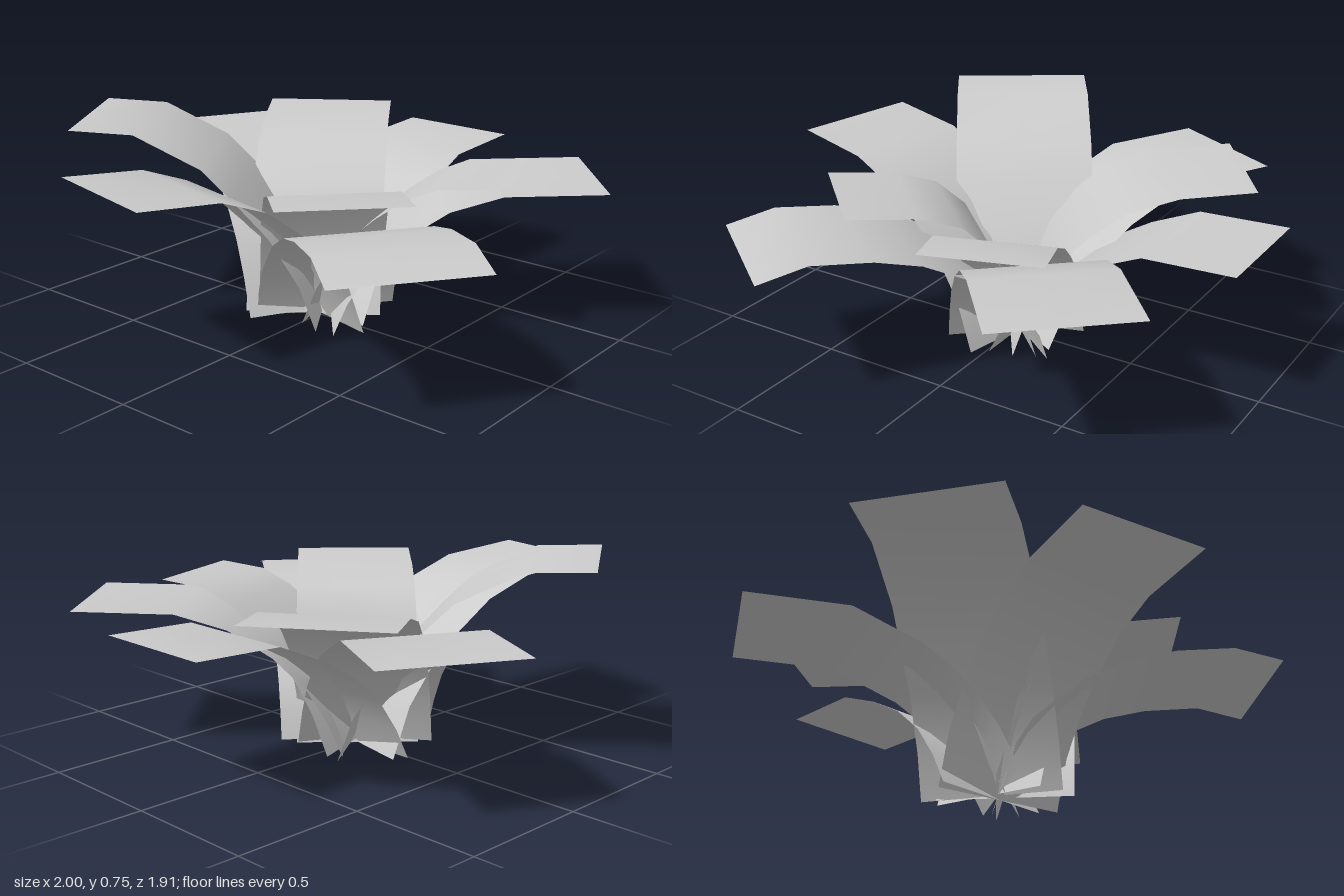
import * as THREE from 'three';

const material = new THREE.MeshStandardMaterial({ color: 0xcccccc, side: THREE.DoubleSide });

// Flat-edged strip of constant width, bent along a profile of [radius, height].
// a and b are the [x, z] tip corners; the strip runs inwards at right angles to them.
function leaf(name, a, b, profile) {
  const tip = new THREE.Vector2((a[0] + b[0]) / 2, (a[1] + b[1]) / 2);
  const side = new THREE.Vector2(b[0] - a[0], b[1] - a[1]);
  const half = side.length() / 2;
  side.normalize();
  const out = new THREE.Vector2(-side.y, side.x);
  if (out.dot(tip) < 0) out.negate();
  const tipRadius = out.dot(tip);

  const positions = [], index = [];
  profile.forEach(([r, y], i) => {
    const centre = tip.clone().addScaledVector(out, r - tipRadius);
    for (const s of [-1, 0, 1]) {
      positions.push(centre.x + side.x * half * s, y, centre.y + side.y * half * s);
    }
    if (i === 0) return;
    for (let j = 0; j < 2; j++) {
      const p = (i - 1) * 3 + j, q = p + 3;
      index.push(p, p + 1, q, p + 1, q + 1, q);
    }
  });
  // The upper face must wind upwards
  if (side.cross(out) > 0) index.reverse();

  const geometry = new THREE.BufferGeometry();
  geometry.setAttribute('position', new THREE.Float32BufferAttribute(positions, 3));
  geometry.setIndex(index);
  geometry.computeVertexNormals();
  const mesh = new THREE.Mesh(geometry, material);
  mesh.name = name;
  return mesh;
}

export function createModel() {
  const plant = new THREE.Group();
  plant.name = 'leafyPlant';

  // Outer, lower leaves
  plant.add(
    leaf('backLeaf', [-0.27, -0.96], [0.2, -0.96],
      [[0.01, 0.01], [0.07, 0.13], [0.16, 0.26], [0.28, 0.37], [0.43, 0.46], [0.62, 0.545], [0.96, 0.56]]),
    leaf('backLeftLeaf', [0.6, -0.855], [0.935, -0.475],
      [[0.04, 0.03], [0.09, 0.15], [0.17, 0.28], [0.29, 0.395], [0.45, 0.495], [0.64, 0.55], [1.015, 0.555]]),
    leaf('backRightLeaf', [-0.755, -0.68], [-1, -0.23],
      [[0.01, 0.03], [0.08, 0.17], [0.16, 0.29], [0.25, 0.38], [0.36, 0.46], [0.61, 0.573], [0.99, 0.575]]),
    leaf('frontLeftLeaf', [1, 0.37], [0.685, 0.8],
      [[-0.01, 0.03], [0.02, 0.13], [0.08, 0.23], [0.17, 0.31], [0.28, 0.4], [0.45, 0.485], [0.62, 0.53], [0.84, 0.555], [1.02, 0.515]]),
  );

  // Inner, higher leaves
  plant.add(
    leaf('leftLeaf', [0.57, -0.47], [0.705, -0.065],
      [[-0.01, 0.03], [0.05, 0.18], [0.14, 0.33], [0.215, 0.42], [0.27, 0.47], [0.38, 0.55], [0.5, 0.605], [0.69, 0.62]]),
    leaf('innerBackRightLeaf', [-0.29, -0.825], [-0.71, -0.535],
      [[-0.02, 0.02], [0.04, 0.2], [0.14, 0.39], [0.25, 0.49], [0.38, 0.58], [0.57, 0.635], [0.845, 0.655]]),
    leaf('frontRightLeaf', [-0.9, 0.22], [-0.61, 0.665],
      [[-0.01, 0.03], [0.05, 0.2], [0.16, 0.38], [0.29, 0.52], [0.4, 0.63], [0.64, 0.75], [0.874, 0.76]]),
    leaf('frontLeaf', [-0.44, 0.84], [0.05, 0.945],
      [[-0.01, 0.01], [0.06, 0.2], [0.16, 0.34], [0.28, 0.455], [0.42, 0.56], [0.6, 0.63], [0.915, 0.66]]),
    leaf('innerFrontLeftLeaf', [0.635, 0.28], [0.32, 0.615],
      [[-0.02, 0.01], [0.05, 0.25], [0.14, 0.46], [0.25, 0.56], [0.4, 0.61], [0.655, 0.635]]),
  );
  return plant;
}
